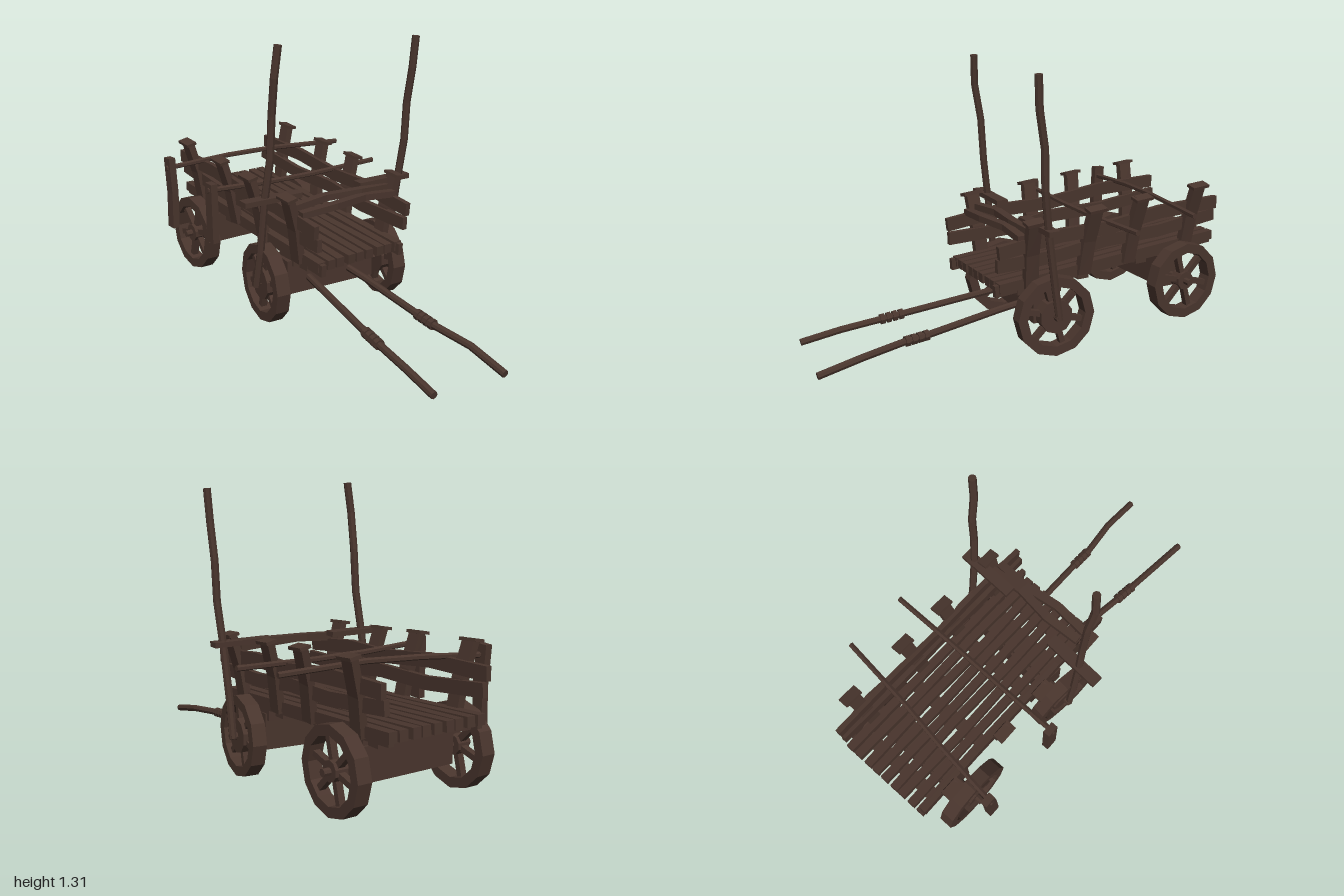
import * as THREE from 'three';

const wood = new THREE.MeshStandardMaterial({ color: 0x49352d, flatShading: true });
wood.name = 'dark wood';

const V = (p) => new THREE.Vector3(...p);
const rect = (a, b) => [[-a / 2, -b / 2], [a / 2, -b / 2], [a / 2, b / 2], [-a / 2, b / 2]];
const ngon = (r, n = 8) => Array.from({ length: n }, (_, i) =>
  [r * Math.cos((i / n) * Math.PI * 2), r * Math.sin((i / n) * Math.PI * 2)]);

// Sweep a cross-section along points; "hint" sets the first profile axis.
function sweep(points, profile, hint) {
  const pts = points.map(V), n = profile.length, pos = [];
  const rings = pts.map((p, k) => {
    const t = pts[Math.min(k + 1, pts.length - 1)].clone().sub(pts[Math.max(k - 1, 0)]).normalize();
    const u = V(hint).addScaledVector(t, -V(hint).dot(t)).normalize();
    const v = t.clone().cross(u);
    return profile.map(([a, b]) => p.clone().addScaledVector(u, a).addScaledVector(v, b));
  });
  const tri = (...c) => c.forEach((q) => pos.push(q.x, q.y, q.z));
  for (let k = 0; k < rings.length - 1; k++) {
    for (let i = 0; i < n; i++) {
      const j = (i + 1) % n, A = rings[k], B = rings[k + 1];
      tri(A[i], A[j], B[j]);
      tri(A[i], B[j], B[i]);
    }
  }
  const first = rings[0], last = rings[rings.length - 1];
  for (let i = 1; i < n - 1; i++) {
    tri(first[0], first[i + 1], first[i]);
    tri(last[0], last[i], last[i + 1]);
  }
  const g = new THREE.BufferGeometry();
  g.setAttribute('position', new THREE.Float32BufferAttribute(pos, 3));
  g.computeVertexNormals();
  return g;
}

function add(parent, name, geometry, x = 0, y = 0, z = 0) {
  const m = new THREE.Mesh(geometry, wood);
  m.name = name;
  m.position.set(x, y, z);
  parent.add(m);
  return m;
}
const box = (parent, name, size, at) => add(parent, name, new THREE.BoxGeometry(...size), ...at);

// Twelve-sided spoked wheel, axle along z
function makeWheel(name, hubRadius) {
  const wheel = new THREE.Group();
  wheel.name = name;
  const rim = new THREE.Shape(ngon(0.187, 12).map(([x, y]) => new THREE.Vector2(x, y)));
  rim.holes.push(new THREE.Path(ngon(0.142, 12).map(([x, y]) => new THREE.Vector2(x, y))));
  add(wheel, 'rim', new THREE.ExtrudeGeometry(rim, { depth: 0.066, bevelEnabled: false }), 0, 0, -0.033);
  for (let i = 0; i < 6; i++) {
    const a = (i / 6) * Math.PI * 2 + 0.25, c = Math.cos(a), s = Math.sin(a);
    add(wheel, 'spoke', sweep([[c * 0.02, s * 0.02, 0], [c * 0.15, s * 0.15, 0]], rect(0.03, 0.026), [0, 0, 1]));
  }
  add(wheel, 'hub', new THREE.CylinderGeometry(hubRadius, hubRadius, 0.06, 10)).rotation.x = Math.PI / 2;
  return wheel;
}

// Axle beam with its rod and two wheels
function makeAxle(name, beamHeight, hubRadius) {
  const axle = new THREE.Group();
  axle.name = name;
  box(axle, 'axleBeam', [0.13, beamHeight, 0.46], [0, 0.02, 0]);
  add(axle, 'axleRod', new THREE.CylinderGeometry(0.017, 0.017, 0.75, 8)).rotation.x = Math.PI / 2;
  for (const s of [-1, 1]) {
    const wheel = makeWheel('wheel', hubRadius);
    wheel.position.z = s * 0.312;
    axle.add(wheel);
  }
  return axle;
}

export function createModel() {
  const cart = new THREE.Group();
  cart.name = 'woodenCart';
  const MID = 0.018;                            // centre line of the bed in z
  const bedY = (x) => 0.342 - 0.067 * x;        // bed slopes down to the front

  // Floor planks
  for (let i = 0; i < 9; i++) {
    const z = MID + (i - 4) * 0.055, w = 0.005 * Math.sin(i * 2.3);
    const path = [-1, -0.6, -0.2, 0.2].map((x, k) => [x, bedY(x) + 0.01, z + (k % 2 ? w : -w)]);
    add(cart, 'floorPlank', sweep(path, rect(0.045, 0.04), [0, 1, 0]));
  }
  for (const x of [-0.9, -0.57, -0.24, 0.08]) {
    box(cart, 'crossBearer', [0.06, 0.035, 0.47], [x, bedY(x) - 0.025, MID]);
  }

  // Leaning sides: sill, two rails and four capped posts each
  for (const s of [-1, 1]) {
    const side = new THREE.Group();
    side.name = s > 0 ? 'leftSide' : 'rightSide';
    cart.add(side);
    const zAt = (h) => MID + s * (0.233 + 0.2 * h);
    [[0, 0, 0.055], [0.115, 0.008, 0.06], [0.195, -0.008, 0.062]].forEach(([h, wave, tall], r) => {
      const path = [-0.99, -0.65, -0.35, -0.1, 0.22].map((x, k) =>
        [x, bedY(x) + h + (k % 2 ? -wave : wave), zAt(h) - s * 0.012]);
      add(side, r ? 'sideRail' : 'sideSill', sweep(path, rect(tall, 0.025), [0, 1, 0]));
    });
    [[-0.82, -0.84, 0.71], [-0.485, -0.51, 0.69], [-0.235, -0.255, 0.67], [0.045, 0.065, 0.65]].forEach(([x0, x1, top]) => {
      const y0 = bedY(x0) - 0.015, h = top - y0;
      const foot = [x0, y0, MID + s * 0.238], head = [x1, top - 0.005, MID + s * 0.305];
      const mid = [(x0 + x1) / 2, y0 + h * 0.5, MID + s * 0.262];
      add(side, 'post', sweep([foot, mid, head], rect(0.066, 0.034), [1, 0, 0]));
      const cap = box(side, 'postCap', [0.092, 0.014, 0.052], [x1, top - 0.008, MID + s * 0.307]);
      cap.rotation.set(s * 0.2, 0, -0.08);
    });
  }

  // Rear and front axles; the front one is turned a little
  const rear = makeAxle('rearAxle', 0.15, 0.045);
  rear.position.set(-0.765, 0.245, 0.022);
  const front = makeAxle('frontAxle', 0.165, 0.08);
  front.position.set(-0.075, 0.195, 0.025);
  front.rotation.set(0.01, -0.11, 0);
  front.rotation.y = -Math.atan2(0.07, 0.64);
  cart.add(rear, front);
  box(cart, 'rearBolster', [0.11, 0.07, 0.44], [-0.765, 0.34, MID]);
  box(cart, 'frontBolster', [0.11, 0.06, 0.44], [-0.075, 0.3, MID]);

  // Tall bent stakes rising from the front hubs
  add(cart, 'leftStake', sweep([[-0.11, 0.18, 0.385], [-0.08, 0.35, 0.377], [-0.05, 0.6, 0.368], [-0.02, 0.8, 0.353],
    [-0.005, 1.0, 0.35], [0.025, 1.17, 0.353], [0.035, 1.31, 0.337]], ngon(0.018), [1, 0, 0]));
  add(cart, 'rightStake', sweep([[-0.04, 0.19, -0.335], [-0.015, 0.35, -0.335], [0.025, 0.6, -0.343], [0.053, 0.8, -0.357],
    [0.06, 0.98, -0.362], [0.09, 1.15, -0.366], [0.1, 1.295, -0.374]], ngon(0.018), [1, 0, 0]));
  box(cart, 'leftStakeClamp', [0.058, 0.024, 0.29], [-0.045, 0.612, 0.335]).rotation.y = -0.06;
  box(cart, 'rightStakeClamp', [0.055, 0.024, 0.29], [0.02, 0.612, -0.25]).rotation.y = -0.04;

  // Boards across the front
  for (const [x, y, bend] of [[0.05, 0.585, 0.012], [0.105, 0.565, -0.012]]) {
    add(cart, 'frontCrossBoard', sweep([[x, y, 0.28], [x - bend, y + 0.012, 0.1], [x + bend, y + 0.012, -0.08], [x, y, -0.25]],
      rect(0.03, 0.04), [0, 1, 0]));
  }

  // Poles across the sides, each with a board hanging at its left end
  add(cart, 'crossPole', sweep([[-0.77, 0.61, 0.485], [-0.735, 0.632, 0.15], [-0.7, 0.638, -0.1], [-0.66, 0.622, -0.485]],
    ngon(0.013, 6), [0, 1, 0]));
  add(cart, 'crossPole', sweep([[-0.355, 0.6, 0.485], [-0.35, 0.583, 0.15], [-0.345, 0.58, -0.1], [-0.345, 0.587, -0.485]],
    ngon(0.013, 6), [0, 1, 0]));
  add(cart, 'hangingBoard', sweep([[-0.765, 0.3, 0.462], [-0.765, 0.48, 0.458], [-0.775, 0.66, 0.462]], rect(0.056, 0.034), [1, 0, 0]));
  add(cart, 'hangingBoard', sweep([[-0.36, 0.34, 0.462], [-0.36, 0.63, 0.462]], rect(0.058, 0.034), [1, 0, 0]));

  // Pulling shafts with bound joints
  const shafts = [
    [[-0.05, 0.2, 0.145], [0.12, 0.18, 0.168], [0.48, 0.134, 0.215], [0.6, 0.12, 0.228], [0.78, 0.1, 0.246], [0.965, 0.07, 0.262]],
    [[-0.05, 0.2, -0.068], [0.12, 0.183, -0.072], [0.48, 0.134, -0.078], [0.6, 0.122, -0.076], [0.8, 0.1, -0.098], [1.0, 0.058, -0.095]],
  ];
  for (const path of shafts) {
    add(cart, 'shaft', sweep(path, ngon(0.017), [0, 1, 0]));
    const a = V(path[2]), b = V(path[3]);
    for (const t of [0.12, 0.37, 0.62, 0.87]) {
      const ring = add(cart, 'shaftBinding', new THREE.CylinderGeometry(0.025, 0.025, 0.021, 8));
      ring.position.lerpVectors(a, b, t);
      ring.quaternion.setFromUnitVectors(new THREE.Vector3(0, 1, 0), b.clone().sub(a).normalize());
    }
  }
  return cart;
}
